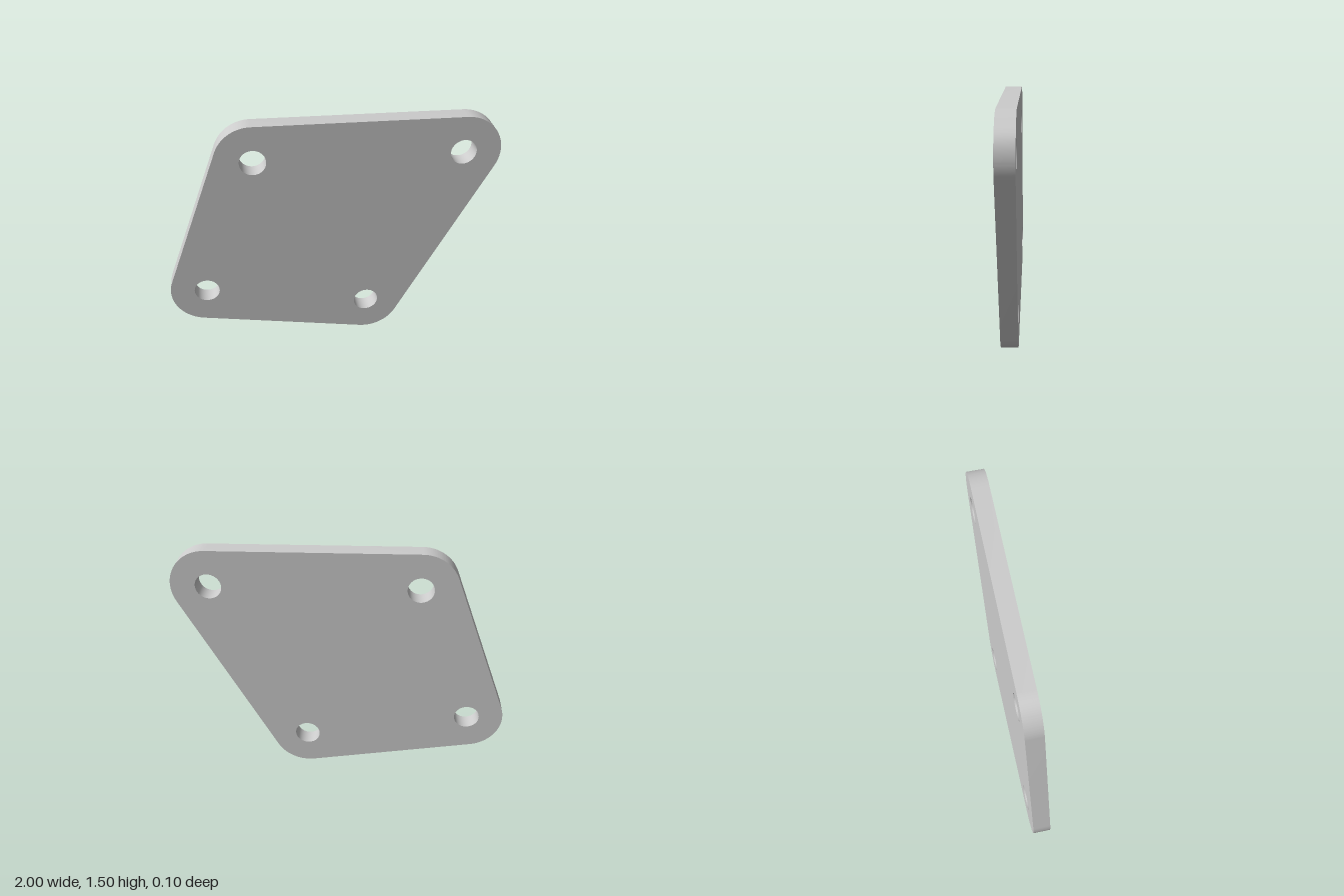
import * as THREE from 'three';
import { toCreasedNormals } from 'three/addons/utils/BufferGeometryUtils.js';

const THICKNESS = 0.104;
const CORNER_RADIUS = 0.222;
const HOLE_RADIUS = 0.077;

// Bolt hole centres, counter-clockwise; each is also the centre of a rounded corner
const CENTRES = [[0.227, 0.222], [0.778, 1.263], [-0.445, 1.279], [-0.778, 0.402]];

// Direction of the outward normal of the edge from a to b
const edgeNormal = (a, b) => Math.atan2(a[0] - b[0], b[1] - a[1]);

export function createModel() {
  const group = new THREE.Group();
  group.name = 'mountingPlate';

  // Outline: tangent edges joined by corner arcs, with a bolt hole at each corner
  const outline = new THREE.Shape();
  const n = CENTRES.length;
  CENTRES.forEach((c, i) => {
    const start = edgeNormal(CENTRES[(i + n - 1) % n], c);
    const end = edgeNormal(c, CENTRES[(i + 1) % n]);
    outline.absarc(c[0], c[1], CORNER_RADIUS, start, end, false);
    const hole = new THREE.Path();
    hole.absarc(c[0], c[1], HOLE_RADIUS, 0, Math.PI * 2, true);
    outline.holes.push(hole);
  });
  outline.closePath();

  // Flat plate, smooth around the corners and holes with sharp rims
  const geometry = new THREE.ExtrudeGeometry(outline, {
    depth: THICKNESS, bevelEnabled: false, curveSegments: 24,
  });
  geometry.translate(0, 0, -THICKNESS / 2);
  const plate = new THREE.Mesh(
    toCreasedNormals(geometry, 0.6),
    new THREE.MeshStandardMaterial({ color: 0xcccccc }),
  );
  plate.name = 'plate';
  group.add(plate);
  return group;
}
